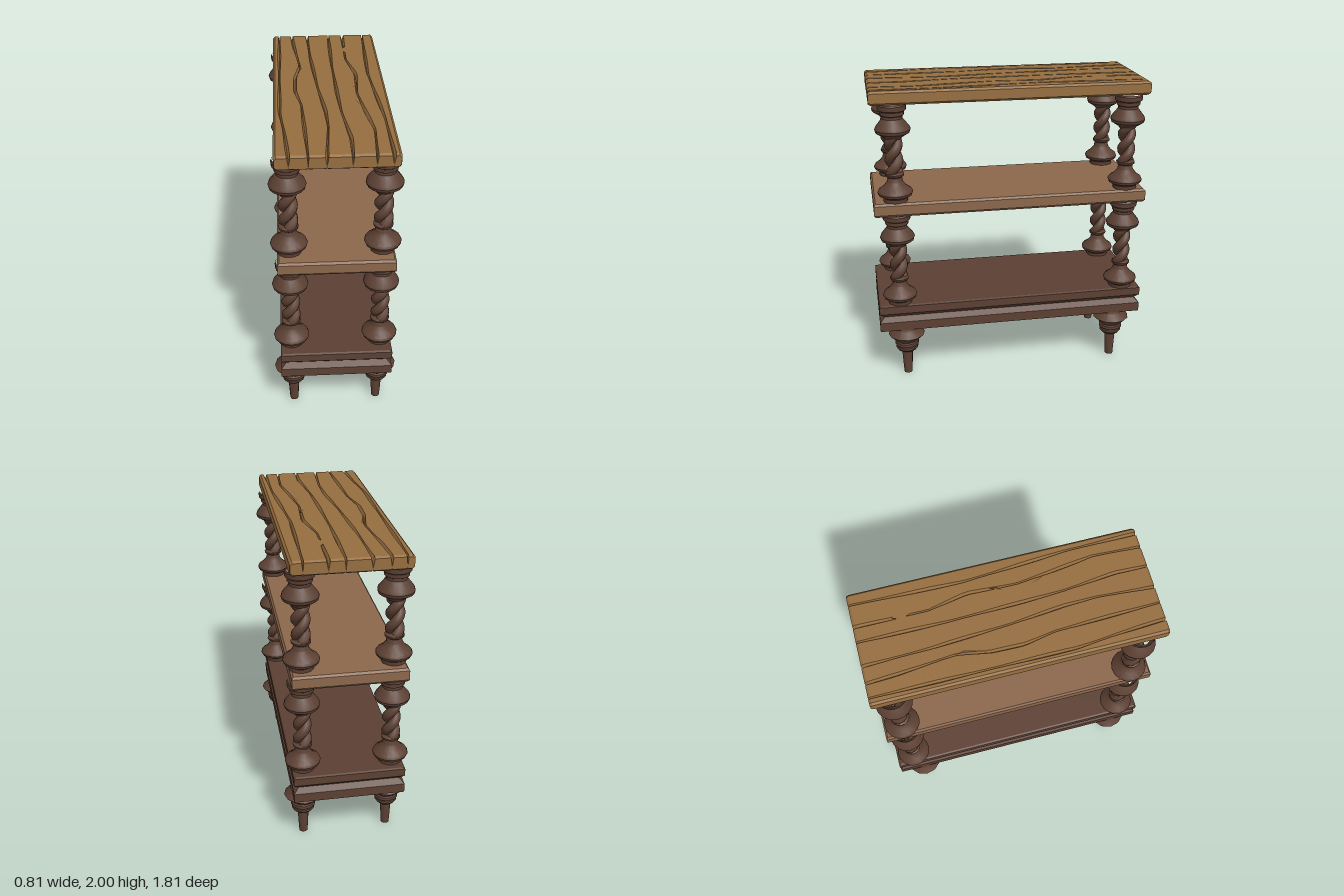
import * as THREE from 'three';
import { mergeGeometries, toCreasedNormals } from 'three/addons/utils/BufferGeometryUtils.js';

const W = 0.36, D = 0.905;

function material(name, color) {
  const m = new THREE.MeshStandardMaterial({ color });
  m.name = name;
  return m;
}

function flatGeometry(positions, index) {
  const g = new THREE.BufferGeometry();
  g.setAttribute('position', new THREE.Float32BufferAttribute(positions, 3));
  g.setIndex(index);
  const flat = g.toNonIndexed();
  flat.computeVertexNormals();
  return flat;
}

// Rectangular slab whose edge follows a [height, inset] profile, bottom to top
function slab(profile) {
  const pos = [], idx = [];
  for (const [y, inset] of profile) {
    const w = W - inset, d = D - inset;
    pos.push(-w, y, d, w, y, d, w, y, -d, -w, y, -d);
  }
  for (let k = 0; k < profile.length - 1; k++) {
    for (let i = 0; i < 4; i++) {
      const a = k * 4 + i, b = k * 4 + (i + 1) % 4;
      idx.push(a, b, b + 4, a, b + 4, a + 4);
    }
  }
  const t = (profile.length - 1) * 4;
  idx.push(0, 2, 1, 0, 3, 2, t, t + 1, t + 2, t, t + 2, t + 3);
  return flatGeometry(pos, idx);
}

function turned(profile, sides) {
  const pts = profile.map(([r, y]) => new THREE.Vector2(r, y));
  return toCreasedNormals(new THREE.LatheGeometry(pts, sides), 0.55);
}

// Cracks running the length of the top, as [z, x] points
const cracks = [
  [[-0.91, -0.315], [0.35, -0.32], [0.6, -0.295], [0.91, -0.275]],
  [[-0.91, -0.225], [-0.7, -0.213], [-0.35, -0.18], [-0.15, -0.215], [0.05, -0.22], [0.25, -0.185], [0.91, -0.165]],
  [[-0.91, -0.115], [-0.5, -0.105], [0, -0.075], [0.35, -0.04], [0.55, -0.035], [0.91, -0.06]],
  [[-0.91, 0.04], [-0.35, 0.035], [0.1, 0.045], [0.36, 0.055], [0.7, 0.09], [0.91, 0.085]],
  [[-0.91, 0.14], [-0.45, 0.135], [-0.2, 0.185], [0.1, 0.17], [0.35, 0.2], [0.6, 0.235], [0.91, 0.22]],
  [[-0.91, 0.285], [-0.2, 0.265], [0.1, 0.285], [0.45, 0.31], [0.91, 0.315]],
];

function crackX(path, z) {
  let i = 0;
  while (i < path.length - 2 && z > path[i + 1][0]) i++;
  const [z0, x0] = path[i], [z1, x1] = path[i + 1];
  return x0 + (x1 - x0) * (z - z0) / (z1 - z0);
}

// Plank top: a grooved cross-section lofted along z, with grooves deepening at the ends
function crackedTop() {
  const zs = [-D, -D + 0.015];
  for (let i = 1; i < 48; i++) zs.push(-0.89 + (1.78 * i) / 48);
  zs.push(D - 0.015, D);
  const sections = zs.map((z) => {
    const end = Math.abs(z) > D - 0.001;
    const cut = end ? 0.01 : 0;
    const lo = 1.91 + cut, hi = 2 - cut, c = 0.014, w = W - cut * 0.3;
    const deep = end ? 0.055 : Math.abs(z) > 0.885 ? 0.035 : 0.02;
    const pts = [[-w, lo + c], [-w + c, lo]];
    for (const path of cracks) {
      const x = crackX(path, z);
      pts.push([x - 0.005, lo], [x, lo + 0.006], [x + 0.005, lo]);
    }
    pts.push([w - c, lo], [w, lo + c], [w, hi - c], [w - c, hi]);
    for (const path of [...cracks].reverse()) {
      const x = crackX(path, z), h = 0.008 + 0.003 * Math.sin(z * 9 + x * 20);
      pts.push([x + h, hi], [x, hi - deep], [x - h, hi]);
    }
    pts.push([-w + c, hi], [-w, hi - c]);
    return pts;
  });
  const n = sections[0].length, pos = [], idx = [];
  sections.forEach((s, k) => s.forEach(([x, y]) => pos.push(x, y, zs[k])));
  for (let k = 0; k < sections.length - 1; k++) {
    for (let i = 0; i < n; i++) {
      const a = k * n + i, b = k * n + (i + 1) % n;
      idx.push(a, b, b + n, a, b + n, a + n);
    }
  }
  const cap = (s) => THREE.ShapeUtils.triangulateShape(s.map(([x, y]) => new THREE.Vector2(x, y)), []);
  const last = (sections.length - 1) * n;
  for (const [a, b, c] of cap(sections[0])) idx.push(a, c, b);
  for (const [a, b, c] of cap(sections[sections.length - 1])) idx.push(last + a, last + b, last + c);
  return flatGeometry(pos, idx);
}

// Short tapered splinter marks beside the cracks, as [x, z] outlines
function splinter(points) {
  const shape = new THREE.Shape(points.map(([x, z]) => new THREE.Vector2(x, -z)));
  return new THREE.ShapeGeometry(shape).rotateX(-Math.PI / 2).translate(0, 2.001, 0);
}

// Two intertwined strands between the turned ends of a post
function twist(y0, y1) {
  const strands = [0, Math.PI].map((phase) => {
    const pts = [];
    for (let i = 0; i <= 24; i++) {
      const t = i / 24, a = phase + t * Math.PI * 2.5;
      pts.push(new THREE.Vector3(Math.sin(a) * 0.028, y0 + (y1 - y0) * t, Math.cos(a) * 0.028));
    }
    return new THREE.TubeGeometry(new THREE.CatmullRomCurve3(pts), 40, 0.032, 10);
  });
  return mergeGeometries(strands);
}

export function createModel() {
  const model = new THREE.Group();
  const oak = material('golden oak', 0x966e40);
  const crackBrown = material('crack brown', 0x6e4f2c);
  const tan = material('tan wood', 0x8b674c);
  const walnut = material('dark walnut', 0x5c4033);

  const add = (parent, name, geometry, mat) => {
    const mesh = new THREE.Mesh(geometry, mat);
    mesh.name = name;
    parent.add(mesh);
    return mesh;
  };

  // Shelves
  add(model, 'topBoard', crackedTop(), oak);
  add(model, 'middleShelf', slab([[1.18, 0.01], [1.194, 0], [1.256, 0], [1.27, 0.012]]), tan);
  add(model, 'baseShelf', slab([[0.362, 0], [0.424, 0], [0.456, 0.032], [0.488, 0], [0.54, 0], [0.547, 0.012]]), walnut);

  // Splinter marks
  const marks = [
    [[-0.18, -0.36], [-0.165, -0.3], [-0.205, -0.17], [-0.178, -0.3]],
    [[0.14, -0.67], [0.178, -0.6], [0.15, -0.54], [0.118, -0.61]],
    [[0.182, -0.06], [0.178, -0.02], [0.145, 0.02]],
    [[0.145, 0.18], [0.185, 0.28], [0.165, 0.25]],
  ];
  const markMaterials = [crackBrown, oak, crackBrown, crackBrown];
  marks.forEach((m, i) => add(model, 'splinterMark', splinter(m), markMaterials[i]));

  // Turned post parts, measured from the foot of the post
  const lowerTurning = turned([
    [0.078, 0], [0.08, 0.025], [0.086, 0.032], [0.108, 0.042], [0.115, 0.06], [0.108, 0.076],
    [0.075, 0.1], [0.052, 0.13], [0.046, 0.16], [0.06, 0.17], [0.062, 0.182], [0.05, 0.19], [0, 0.19],
  ], 16);
  const upperTurning = turned([
    [0, 0.415], [0.055, 0.415], [0.06, 0.425], [0.108, 0.455], [0.114, 0.475], [0.108, 0.492], [0.066, 0.545],
    [0.066, 0.562], [0.076, 0.568], [0.078, 0.592], [0.09, 0.6], [0.092, 0.63], [0.086, 0.64],
  ], 16);
  const spiral = twist(0.175, 0.43);

  // Legs
  const legShape = turned([
    [0, 0], [0.028, 0], [0.037, 0.17], [0.062, 0.18], [0.075, 0.196], [0.075, 0.212], [0.068, 0.217],
    [0.081, 0.224], [0.081, 0.246], [0.072, 0.252], [0.084, 0.264], [0.124, 0.303], [0.084, 0.345], [0.08, 0.363],
  ], 12);

  for (const sx of [-1, 1]) {
    for (const sz of [-1, 1]) {
      for (const [level, y] of [['lower', 0.545], ['upper', 1.27]]) {
        const post = new THREE.Group();
        post.name = level + 'Post';
        add(post, 'postFoot', lowerTurning, walnut);
        add(post, 'postTwist', spiral, walnut);
        add(post, 'postCapital', upperTurning, walnut);
        post.position.set(sx * 0.286, y, sz > 0 ? 0.76 : -0.778);
        model.add(post);
      }
      add(model, 'leg', legShape, walnut).position.set(sx * 0.281, 0, sz * 0.727);
    }
  }
  return model;
}
